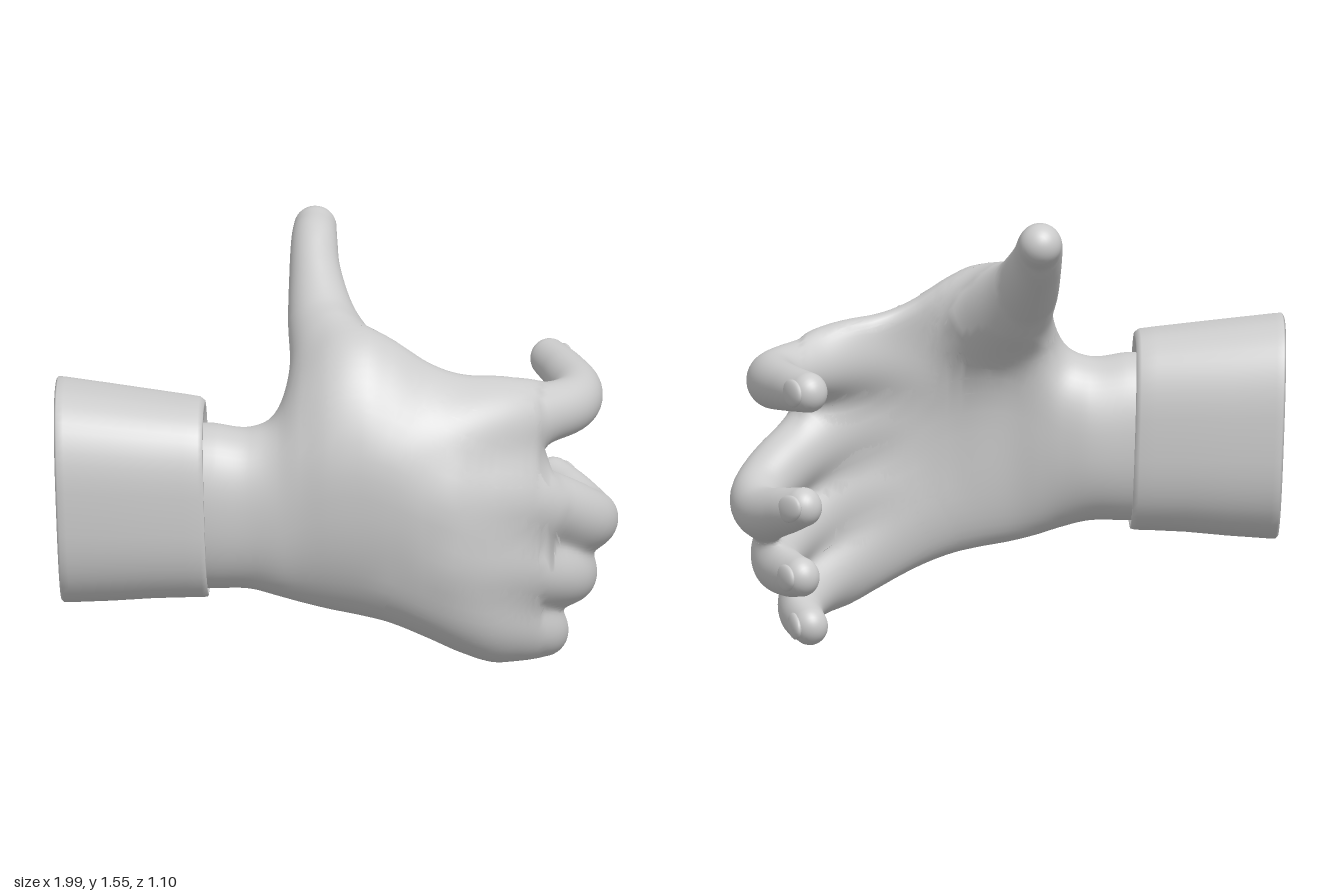
import * as THREE from 'three';

const SIDES = 52;
const BLEND = 0.036; // softness of the joins between palm and digits
const material = new THREE.MeshStandardMaterial({ color: 0xcccccc });

// Skin a list of rings (equal point counts) and close both ends
function loft(name, rings) {
  const n = rings[0].length, last = (rings.length - 1) * n, index = [];
  const points = rings.flat();
  const centre = ring => ring.reduce((s, p) => s.add(p), new THREE.Vector3()).divideScalar(n);
  points.push(centre(rings[0]), centre(rings[rings.length - 1]));
  for (let j = 0; j < n; j++) {
    const k = (j + 1) % n;
    for (let i = 0; i < last; i += n) {
      index.push(i + j, i + k, i + n + j, i + k, i + n + k, i + n + j);
    }
    index.push(last + n, k, j, last + n + 1, last + j, last + k);
  }
  const geometry = new THREE.BufferGeometry().setFromPoints(points);
  geometry.setIndex(index);
  geometry.computeVertexNormals();
  const mesh = new THREE.Mesh(geometry, material);
  mesh.name = name;
  return mesh;
}

// Smooth curve through rows of numbers placed at the given stations
function through(stations, rows) {
  const curve = new THREE.CubicInterpolant(stations, rows.flat(), rows[0].length, new Array(rows[0].length));
  return s => Array.from(curve.evaluate(s));
}

// Rounded section across x: bend pulls the rims toward the palm side, skew tilts the section
function section([x, bottom, top, zPalm, zBack, bend = 0, skew = 0], power) {
  const round = v => Math.sign(v) * Math.abs(v) ** power;
  return Array.from({ length: SIDES }, (_, j) => {
    const a = (j / SIDES) * Math.PI * 2;
    const t = round(Math.cos(a)), s = round(Math.sin(a));
    return new THREE.Vector3(
      x + skew * t,
      (top + bottom) / 2 + t * (top - bottom) / 2,
      (zBack + zPalm) / 2 + s * (zBack - zPalm) / 2 - bend * t * t * (t > 0 ? 1 : 0.45));
  });
}

// Palm skin and its signed depth (negative inside)
function makePalm(rows, power) {
  const xs = rows.map(r => r[0]), x0 = xs[0], x1 = xs[xs.length - 1];
  const rowAt = through(xs, rows);
  const rings = [];
  for (let i = 0; i <= 80; i++) rings.push(section(rowAt(x0 + (x1 - x0) * i / 80), power));
  const depth = p => {
    const x = Math.min(Math.max(p.x, x0), x1);
    const [, bottom, top, zPalm, zBack, bend] = rowAt(x);
    const hy = (top - bottom) / 2, hz = (zBack - zPalm) / 2;
    const t = (p.y - bottom - hy) / hy;
    const s = (p.z - zPalm - hz + bend * t * t * (t > 0 ? 1 : 0.45)) / hz;
    const e = 2 / power;
    const reach = (Math.abs(t) ** e + Math.abs(s) ** e) ** (1 / e);
    return (reach - 1) * Math.min(hy, hz) + Math.abs(p.x - x);
  };
  return { mesh: loft('palm', rings), depth };
}

// Tapered digit along rows of [x, y, z, halfWidth, halfDepth] with a rounded tip
function makeDigit(name, rows, widthAxis) {
  const rowAt = through(rows.map((_, i) => i), rows);
  const count = (rows.length - 1) * 6;
  const path = Array.from({ length: count + 1 }, (_, i) => rowAt(i / 6));
  const at = i => new THREE.Vector3(...path[Math.min(Math.max(i, 0), count)].slice(0, 3));
  const frames = path.map(([, , , w, d], i) => {
    const t = at(i + 1).sub(at(i - 1)).normalize();
    const u = widthAxis.clone().addScaledVector(t, -t.dot(widthAxis)).normalize();
    return { p: at(i), t, u, v: t.clone().cross(u), w, d };
  });
  const tip = frames[count];
  const ringAt = ({ p, t, u, v, w, d }, angle) => Array.from({ length: SIDES }, (_, j) => {
    const a = (j / SIDES) * Math.PI * 2, c = Math.cos(angle);
    return p.clone().addScaledVector(t, d * Math.sin(angle))
      .addScaledVector(u, w * c * Math.cos(a)).addScaledVector(v, d * c * Math.sin(a));
  });
  const rings = frames.map(f => ringAt(f, 0));
  for (let k = 1; k <= 8; k++) rings.push(ringAt(tip, (k / 8.3) * Math.PI / 2));

  const box = new THREE.Box3().setFromPoints(rings.flat());
  const c = new THREE.Vector3();
  const depth = q => {
    if (box.distanceToPoint(q) > 0.25) return 0.25;
    let best = Infinity;
    for (let i = 0; i < count; i++) {
      const a = frames[i], b = frames[i + 1];
      c.subVectors(b.p, a.p);
      const len = c.lengthSq();
      const along = (c.x * (q.x - a.p.x) + c.y * (q.y - a.p.y) + c.z * (q.z - a.p.z)) / len;
      const h = Math.min(Math.max(along, 0), 1);
      c.multiplyScalar(-h).add(q).sub(a.p);
      const w = a.w + (b.w - a.w) * h, d = a.d + (b.d - a.d) * h;
      const reach = Math.hypot(c.dot(a.u) / w, c.dot(a.v) / d, c.dot(a.t) / d);
      best = Math.min(best, (reach - 1) * Math.min(w, d));
    }
    return best;
  };
  return { mesh: loft(name, rings), depth, tip };
}

// Move the skin of each part onto one softly blended surface
function blend(parts) {
  const depth = p => -BLEND * Math.log(parts.reduce((s, part) => s + Math.exp(-part.depth(p) / BLEND), 0));
  const e = 0.003, q = new THREE.Vector3();
  const slope = (p, g) => {
    for (const axis of ['x', 'y', 'z']) {
      q.copy(p)[axis] += e;
      const ahead = depth(q);
      q[axis] -= 2 * e;
      g[axis] = (ahead - depth(q)) / (2 * e);
    }
    return g;
  };
  const p = new THREE.Vector3(), g = new THREE.Vector3();
  for (const { mesh } of parts) {
    const { position, normal } = mesh.geometry.attributes;
    for (let i = 0; i < position.count; i++) {
      p.fromBufferAttribute(position, i);
      if (depth(p) < -0.075) continue; // buried deep inside
      for (let step = 0; step < 4; step++) {
        slope(p, g);
        const move = depth(p) / Math.max(g.length(), 0.2);
        p.addScaledVector(g.normalize(), -Math.min(Math.max(move, -0.04), 0.04));
      }
      slope(p, g).normalize();
      position.setXYZ(i, p.x, p.y, p.z);
      normal.setXYZ(i, g.x, g.y, g.z);
    }
  }
}

// Flat oval nail on the outer side of a fingertip
function makeNail(name, { p, t, u, v, w, d }) {
  const nail = new THREE.Mesh(new THREE.SphereGeometry(1, 24, 14), material);
  nail.name = name;
  nail.quaternion.setFromRotationMatrix(new THREE.Matrix4().makeBasis(u, v, t));
  nail.scale.set(w * 0.7, 0.02, 0.066);
  nail.position.copy(p).addScaledVector(v, d * 0.84).addScaledVector(t, -0.012);
  return nail;
}

export function createModel() {
  const model = new THREE.Group();
  model.name = 'hand';

  // Sleeve cuff with a rolled front lip
  const cuffRows = [
    [-0.975, 0.33, 1.07, 0.0, 0.525, 0, -0.012],
    [-0.983, 0.31, 1.09, -0.018, 0.54, 0, -0.014],
    [-0.975, 0.302, 1.099, -0.028, 0.548, 0, -0.015],
    [-0.95, 0.302, 1.097, -0.027, 0.55, 0, -0.015],
    [-0.8, 0.312, 1.08, -0.01, 0.55, 0, -0.012],
    [-0.65, 0.325, 1.063, 0.012, 0.545, 0, -0.01],
    [-0.53, 0.33, 1.05, 0.032, 0.536, 0, -0.01],
    [-0.475, 0.331, 1.043, 0.042, 0.532, 0, -0.01],
    [-0.458, 0.335, 1.03, 0.05, 0.526, 0, -0.01],
    [-0.457, 0.348, 1.01, 0.068, 0.512, 0, -0.01],
    [-0.48, 0.365, 0.98, 0.09, 0.495, 0, -0.01],
    [-0.56, 0.38, 0.95, 0.12, 0.48, 0, -0.01],
  ];
  model.add(loft('cuff', cuffRows.map(row => section(row, 0.75))));

  // Wrist and cupped palm: x, bottom, top, zPalm, zBack, bend
  const palm = makePalm([
    [-0.6, 0.37, 0.95, 0.12, 0.48, 0],
    [-0.45, 0.36, 0.96, 0.11, 0.49, 0],
    [-0.3, 0.36, 0.945, 0.11, 0.49, 0],
    [-0.2, 0.335, 0.99, 0.13, 0.5, 0.02],
    [-0.12, 0.31, 1.11, 0.15, 0.51, 0.06],
    [-0.02, 0.285, 1.24, 0.18, 0.525, 0.11],
    [0.1, 0.265, 1.275, 0.2, 0.53, 0.13],
    [0.2, 0.245, 1.24, 0.22, 0.53, 0.15],
    [0.32, 0.205, 1.17, 0.235, 0.525, 0.16],
    [0.46, 0.15, 1.105, 0.23, 0.5, 0.16],
    [0.57, 0.125, 1.06, 0.205, 0.44, 0.14],
    [0.64, 0.18, 1.01, 0.19, 0.385, 0.11],
    [0.69, 0.28, 0.95, 0.19, 0.335, 0.08],
    [0.72, 0.42, 0.86, 0.195, 0.295, 0.04],
    [0.735, 0.56, 0.74, 0.21, 0.27, 0.01],
  ], 0.9);

  // Fingers: rows of [x, y, z, radius]
  const fingers = {
    indexFinger: [
      [0.22, 0.88, 0.36, 0.08], [0.4, 0.93, 0.31, 0.105], [0.56, 0.955, 0.22, 0.115],
      [0.71, 0.95, 0.1, 0.106], [0.82, 0.945, -0.03, 0.1], [0.84, 0.95, -0.17, 0.094],
      [0.79, 0.96, -0.34, 0.082], [0.73, 0.968, -0.475, 0.072]],
    middleFinger: [
      [0.4, 0.74, 0.36, 0.1], [0.6, 0.7, 0.27, 0.118], [0.77, 0.62, 0.13, 0.112],
      [0.885, 0.525, -0.02, 0.102], [0.885, 0.487, -0.18, 0.092], [0.81, 0.515, -0.33, 0.082],
      [0.745, 0.545, -0.42, 0.07]],
    ringFinger: [
      [0.4, 0.5, 0.37, 0.1], [0.58, 0.46, 0.29, 0.11], [0.72, 0.385, 0.17, 0.105],
      [0.81, 0.32, 0.02, 0.096], [0.825, 0.285, -0.13, 0.088], [0.79, 0.275, -0.26, 0.08],
      [0.75, 0.28, -0.36, 0.069]],
    littleFinger: [
      [0.22, 0.42, 0.36, 0.07], [0.38, 0.34, 0.35, 0.09], [0.53, 0.255, 0.29, 0.1],
      [0.64, 0.185, 0.19, 0.098], [0.72, 0.125, 0.07, 0.088], [0.735, 0.09, -0.05, 0.08],
      [0.71, 0.068, -0.172, 0.067]],
  };
  const up = new THREE.Vector3(0, 1, 0);
  const digits = Object.entries(fingers).map(([name, rows]) => {
    const finger = makeDigit(name, rows.map(([x, y, z, r]) => [x, y, z, r, r * 0.95]), up);
    model.add(makeNail(name + 'Nail', finger.tip));
    return finger;
  });

  // Thumb, flaring into the web at its root
  digits.push(makeDigit('thumb', [
    [0.04, 0.88, 0.33, 0.18, 0.11],
    [0.03, 1.03, 0.25, 0.19, 0.14],
    [-0.01, 1.15, 0.12, 0.155, 0.142],
    [-0.06, 1.25, -0.02, 0.122, 0.122],
    [-0.092, 1.37, -0.19, 0.092, 0.105],
    [-0.1, 1.45, -0.31, 0.082, 0.088],
    [-0.1, 1.478, -0.385, 0.076, 0.076],
  ], new THREE.Vector3(1, 0, 0)));

  const parts = [palm, ...digits];
  blend(parts);
  parts.forEach(part => model.add(part.mesh));
  return model;
}
